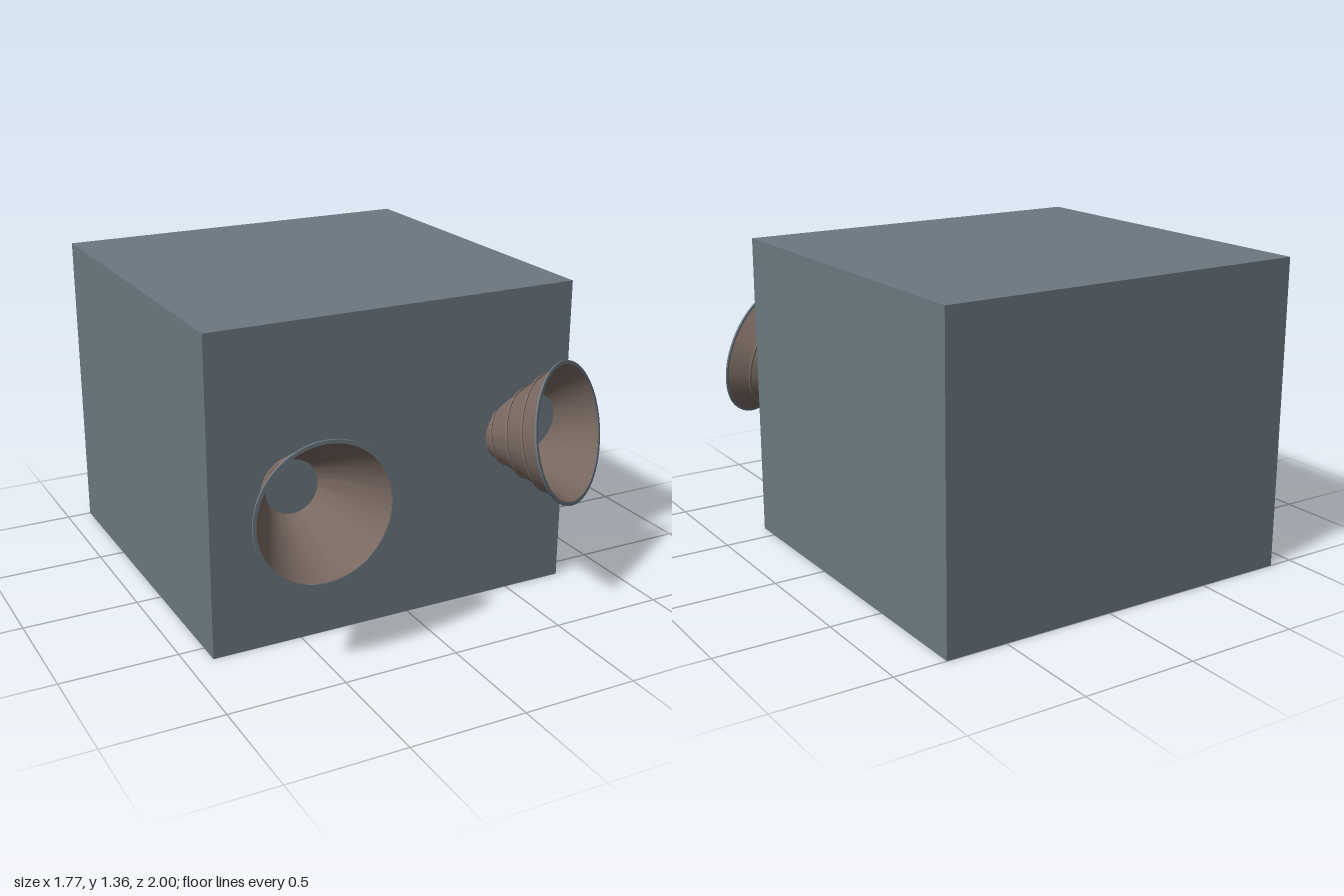
import * as THREE from 'three';
import { toCreasedNormals } from 'three/addons/utils/BufferGeometryUtils.js';

const slate = new THREE.MeshStandardMaterial({ color: 0x6b7780 });
slate.name = 'slate';
const brown = new THREE.MeshStandardMaterial({ color: 0x7b6a62 });
brown.name = 'brown';

// Outer radius of the horn, with z = 0 at the mouth and negative towards the box
const radiusAt = (z) => 0.293 + z * 0.567;

// Closed profile of [radius, z] pairs, spun around the z axis
function spun(name, profile, material) {
  const points = [...profile, profile[0]].map(([r, z]) => new THREE.Vector2(r, z));
  const lathe = new THREE.LatheGeometry(points, 64).rotateX(Math.PI / 2);
  const mesh = new THREE.Mesh(toCreasedNormals(lathe, 0.5), material);
  mesh.name = name;
  return mesh;
}

// Flared horn: thin wall, raised hoops and a slate lip around the mouth
function createHorn(name) {
  const horn = new THREE.Group();
  horn.name = name;
  const back = -0.36, wall = 0.008;
  horn.add(spun('hornWall', [
    [radiusAt(back), back], [radiusAt(0), 0],
    [radiusAt(0) - wall, 0], [radiusAt(back) - wall, back],
  ], brown));
  for (const z of [-0.09, -0.19, -0.292]) {
    const r = radiusAt(z);
    horn.add(spun('hornHoop', [
      [r - 0.004, z - 0.004], [r + 0.007, z - 0.004],
      [r + 0.007, z + 0.004], [r - 0.004, z + 0.004],
    ], brown));
  }
  horn.add(spun('hornLip', [
    [0.286, -0.005], [0.301, -0.005], [0.301, 0.003], [0.286, 0.003],
  ], slate));
  return horn;
}

export function createModel() {
  const model = new THREE.Group();
  model.name = 'boxWithHorns';

  // Main box
  const box = new THREE.Mesh(new THREE.BoxGeometry(1.66, 1.36, 1.6), slate);
  box.name = 'box';
  box.position.set(-0.06, 0.68, -0.2);
  model.add(box);

  // Horn facing straight ahead
  const rightHorn = createHorn('rightHorn');
  rightHorn.position.set(-0.535, 0.68, 0.9);
  model.add(rightHorn);

  // Horn turned outwards and slightly up
  const leftHorn = createHorn('leftHorn');
  leftHorn.position.set(0.62, 0.785, 0.835);
  leftHorn.rotation.set(-0.21, 0.524, 0, 'YXZ');
  model.add(leftHorn);

  return model;
}
